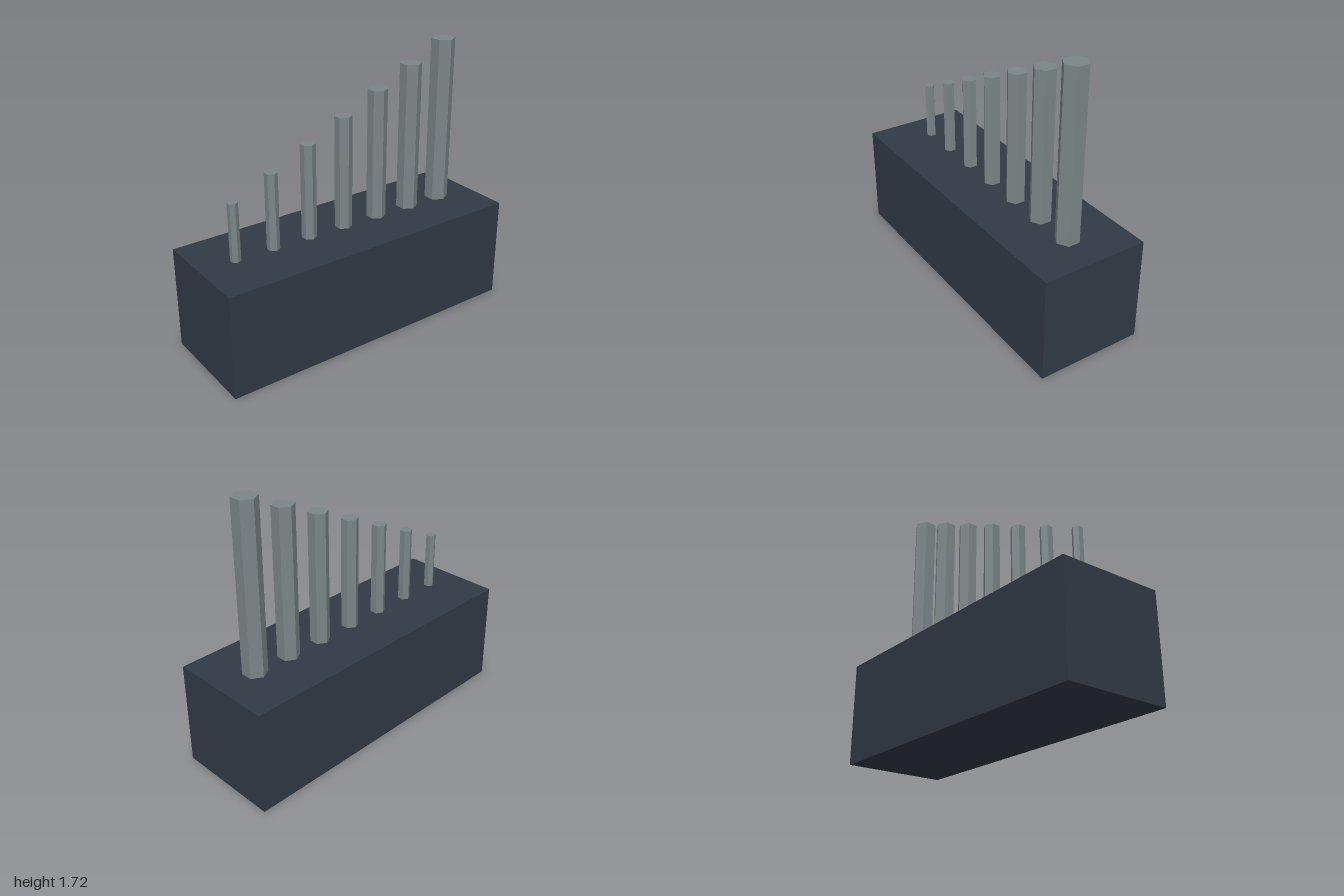
import * as THREE from 'three';

export function createModel() {
  const group = new THREE.Group();
  const blockMaterial = new THREE.MeshStandardMaterial({ color: 0x313a46 });
  blockMaterial.name = 'dark slate';
  const keyMaterial = new THREE.MeshStandardMaterial({ color: 0x7a8688, flatShading: true });
  keyMaterial.name = 'steel grey';

  // Solid holder block
  const blockHeight = 0.655;
  const block = new THREE.Mesh(new THREE.BoxGeometry(2, blockHeight, 0.67), blockMaterial);
  block.name = 'holderBlock';
  block.position.y = blockHeight / 2;
  group.add(block);

  // Seven hexagonal keys, growing in height and thickness towards +x
  const count = 7;
  const sunk = 0.2;
  for (let i = 0; i < count; i++) {
    const t = i / (count - 1);
    const radius = THREE.MathUtils.lerp(0.032, 0.075, t);
    const top = THREE.MathUtils.lerp(1.021, 1.718, t);
    const bottom = blockHeight - sunk;
    const key = new THREE.Mesh(
      new THREE.CylinderGeometry(radius, radius, top - bottom, 6), keyMaterial);
    key.name = `hexKey${i + 1}`;
    key.position.set(THREE.MathUtils.lerp(-0.77, 0.745, t), (top + bottom) / 2, 0);
    group.add(key);
  }
  return group;
}
